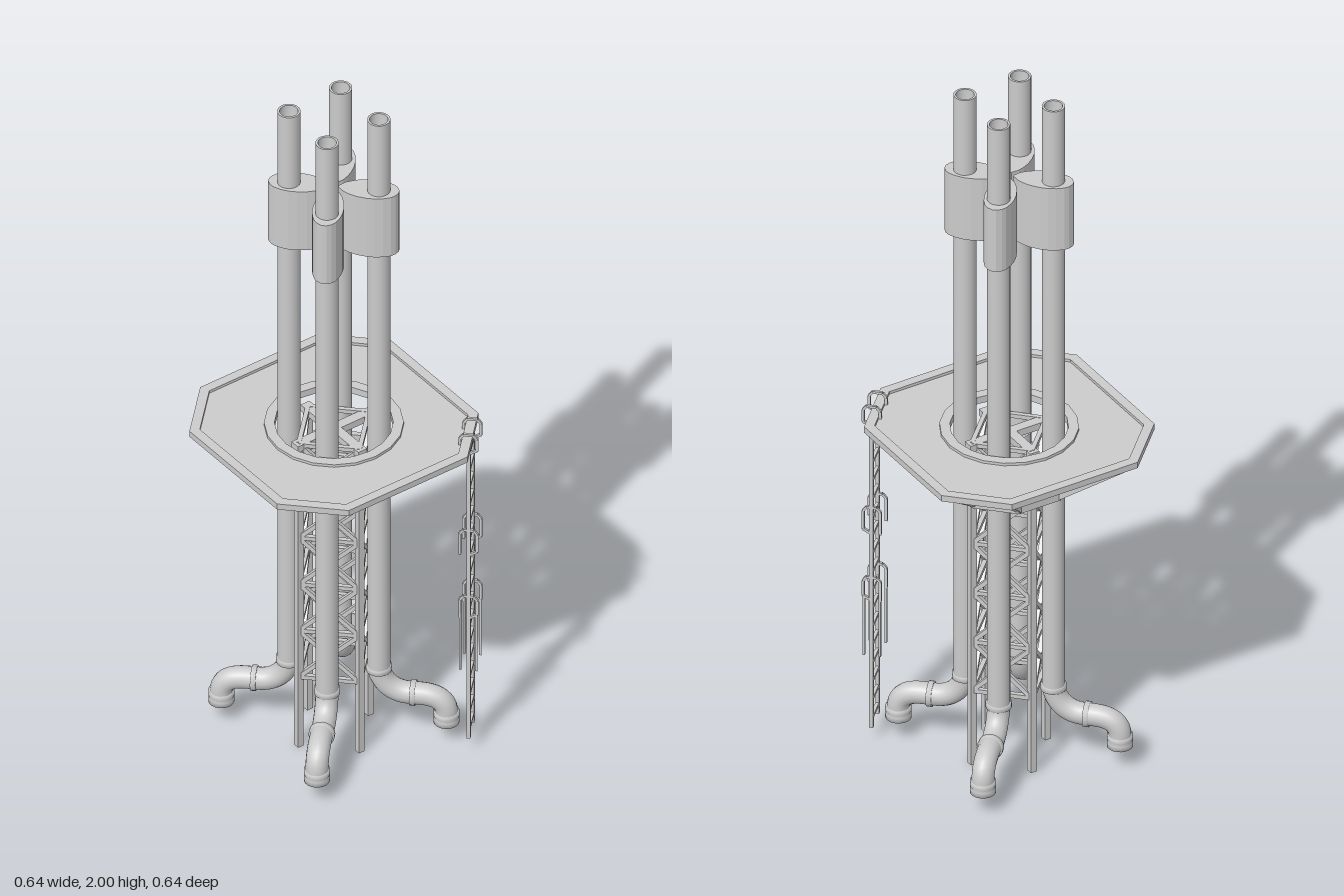
import * as THREE from 'three';

const mat = new THREE.MeshStandardMaterial({ color: 0xcccccc, side: THREE.DoubleSide });
const flat = new THREE.MeshStandardMaterial({ color: 0xcccccc, side: THREE.DoubleSide, flatShading: true });
const V = (x, y, z) => new THREE.Vector3(x, y, z);

function add(parent, name, geo, material = flat) {
  const m = new THREE.Mesh(geo, material);
  m.name = name;
  parent.add(m);
  return m;
}

// square bar from a to b
function bar(parent, name, a, b, w, h = w) {
  const m = add(parent, name, new THREE.BoxGeometry(w, h, a.distanceTo(b)));
  m.position.copy(a).add(b).multiplyScalar(0.5);
  m.lookAt(b);
  return m;
}

// octagon with half-width s and chamfer corners at c
const octagon = (s, c) => [[s, c], [c, s], [-c, s], [-s, c], [-s, -c], [-c, -s], [c, -s], [s, -c]]
  .map(p => new THREE.Vector2(p[0], p[1]));
const circle = (r, n) => Array.from({ length: n }, (_, i) =>
  new THREE.Vector2(r * Math.cos(i / n * Math.PI * 2), r * Math.sin(i / n * Math.PI * 2)));

// horizontal plate with an optional hole, between heights y0 and y1
function plate(parent, name, outline, hole, y0, y1) {
  const s = new THREE.Shape(outline);
  if (hole) s.holes.push(new THREE.Path(hole));
  const g = new THREE.ExtrudeGeometry(s, { depth: y1 - y0, bevelEnabled: false });
  g.rotateX(-Math.PI / 2).translate(0, y0, 0);
  return add(parent, name, g);
}

function lathe(parent, name, pts, x) {
  const g = new THREE.LatheGeometry(pts.map(p => new THREE.Vector2(p[0], p[1])), 20);
  const m = add(parent, name, g, mat);
  m.position.x = x;
  return m;
}

// one pipe, laid out in the plane through the axis, outward along +x
function createPipe() {
  const g = new THREE.Group();
  g.name = 'pipe';
  const d = 0.117, e = 0.293;
  add(g, 'pipeShaft', new THREE.CylinderGeometry(0.03, 0.03, 1.78, 20, 1, true), mat).position.set(d, 1.11, 0);
  const rim = add(g, 'pipeRim', new THREE.RingGeometry(0.024, 0.03, 20));
  rim.rotation.x = -Math.PI / 2;
  rim.position.set(d, 2, 0);
  lathe(g, 'pipeBore', [[0, 1.9], [0.024, 1.9], [0.024, 2]], d);

  // S-shaped foot
  const path = new THREE.CurvePath();
  path.add(new THREE.CubicBezierCurve3(V(d, 0.225, 0), V(d, 0.18, 0), V(d + 0.03, 0.145, 0), V(d + 0.075, 0.143, 0)));
  path.add(new THREE.LineCurve3(V(d + 0.075, 0.143, 0), V(e - 0.068, 0.143, 0)));
  path.add(new THREE.CubicBezierCurve3(V(e - 0.068, 0.143, 0), V(e - 0.028, 0.143, 0), V(e, 0.13, 0), V(e, 0.09, 0)));
  path.add(new THREE.LineCurve3(V(e, 0.09, 0), V(e, 0.062, 0)));
  add(g, 'pipeFoot', new THREE.TubeGeometry(path, 36, 0.03, 16), mat);
  const collar = [[0.029, 0], [0.034, 0], [0.034, 0.014], [0.029, 0.014]];
  lathe(g, 'upperCollar', collar, d).position.y = 0.21;
  lathe(g, 'middleCollar', collar, 0).rotation.z = -Math.PI / 2;
  g.children[g.children.length - 1].position.set(0.2, 0.143, 0);
  lathe(g, 'footFlange', [[0.026, 0.09], [0.026, 0.06], [0.034, 0.06], [0.034, 0.074], [0.032, 0.078],
    [0.034, 0.082], [0.034, 0.094], [0.029, 0.094]], e);

  // leaf-shaped sleeve pointing at the axis
  const half = [[0.012, 0.003], [0.028, 0.02], [0.045, 0.029], [0.064, 0.036], [0.09, 0.04], [0.112, 0.04],
    [0.133, 0.036], [0.153, 0.028], [0.163, 0.019], [0.17, 0.006]];
  const pts = [...half, ...half.slice().reverse().map(p => [p[0], -p[1]])].map(p => new THREE.Vector2(p[0], p[1]));
  plate(g, 'sleeve', pts, null, 1.58, 1.77);
  return g;
}

// lattice mast with posts on the x and z axes
function createMast() {
  const g = new THREE.Group();
  g.name = 'latticeMast';
  const r = 0.112, top = 0.98, bays = 5, y0 = 0.225;
  const at = (i, y) => V(r * Math.cos(i * Math.PI / 2), y, r * Math.sin(i * Math.PI / 2));
  for (let i = 0; i < 4; i++) {
    bar(g, 'post', at(i, 0), at(i, top), 0.018);
    for (let b = 0; b <= bays; b++) {
      const y = y0 + b * (top - y0) / bays, yn = y + (top - y0) / bays;
      bar(g, 'crossbar', at(i, y), at(i + 1, y), 0.012);
      if (b === bays) continue;
      bar(g, 'brace', at(i, y), at(i + 1, yn), 0.012);
      bar(g, 'brace', at(i, yn), at(i + 1, y), 0.012);
    }
  }
  bar(g, 'topBeam', V(-0.125, 0.975, 0), V(0.125, 0.975, 0), 0.028, 0.02);
  bar(g, 'topBeam', V(0, 0.975, -0.125), V(0, 0.975, 0.125), 0.028, 0.02);
  return g;
}

function createPlatform() {
  const g = new THREE.Group();
  g.name = 'platform';
  plate(g, 'deck', octagon(0.31, 0.185), circle(0.155, 20), 0.984, 0.992);
  plate(g, 'deckRim', octagon(0.322, 0.19), octagon(0.296, 0.18), 0.982, 1.0);
  plate(g, 'openingRim', circle(0.18, 20), circle(0.153, 20), 0.98, 1.0);
  // lower ring and struts
  plate(g, 'lowerRing', octagon(0.152, 0.063), octagon(0.138, 0.057), 0.832, 0.856);
  const low = octagon(0.145, 0.06), high = octagon(0.305, 0.18);
  low.forEach((p, i) => bar(g, 'strut', V(p.x, 0.84, p.y), V(high[i].x, 0.982, high[i].y), 0.014));
  return g;
}

// ladder facing outward along +x
function createLadder() {
  const g = new THREE.Group();
  g.name = 'ladder';
  const d = 0.356;
  for (const z of [-0.034, 0.034]) {
    bar(g, 'ladderRail', V(d, 0.04, z), V(d, 1.0, z), 0.01);
    // grab hooks at the top of each section
    for (const [y0, y1] of [[0.965, 1.025], [0.635, 0.715], [0.43, 0.5]]) {
      const p = [[0.333, y0], [0.333, y1 - 0.012], [0.343, y1], [0.369, y1], [0.378, y1 - 0.012], [0.378, y0 + 0.012], [d, y0]];
      for (let i = 0; i < p.length - 1; i++)
        bar(g, 'ladderHook', V(p[i][0], p[i][1], z), V(p[i + 1][0], p[i + 1][1], z), 0.007);
    }
    bar(g, 'sectionRail', V(0.376, 0.26, z), V(0.376, 0.44, z), 0.006);
    bar(g, 'sectionRail', V(0.334, 0.26, z), V(0.334, 0.44, z), 0.006);
  }
  for (let y = 0.07; y < 0.97; y += 0.056)
    bar(g, 'rung', V(d, y, -0.034), V(d, y, 0.034), 0.009);
  return g;
}

export function createModel() {
  const model = new THREE.Group();
  model.name = 'pipeTower';
  for (let i = 0; i < 4; i++) {
    const p = createPipe();
    p.rotation.y = Math.PI / 4 + i * Math.PI / 2;
    model.add(p);
  }
  model.add(createMast(), createPlatform());
  const ladder = createLadder();
  ladder.rotation.y = -Math.PI / 4;
  model.add(ladder);
  return model;
}
